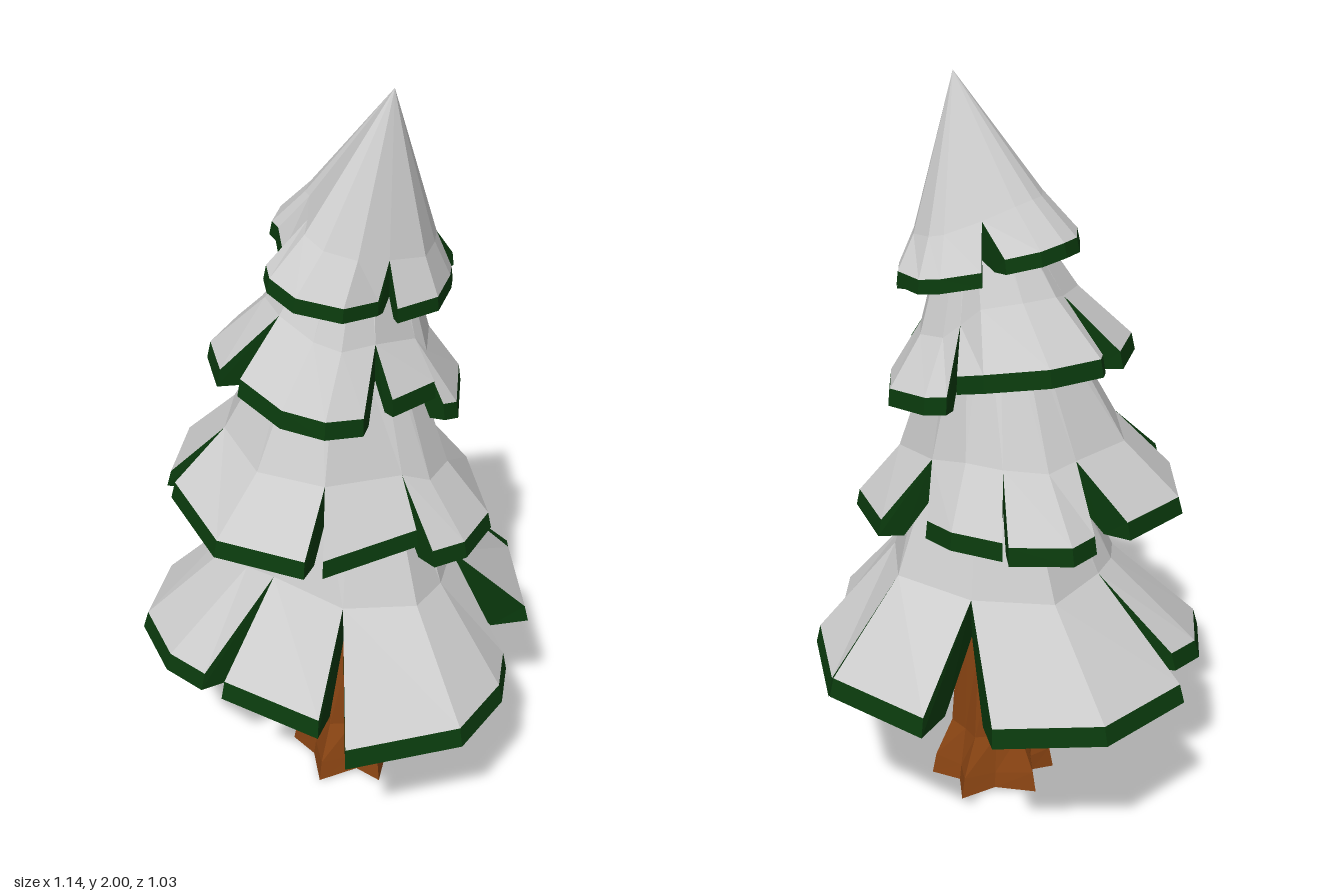
import * as THREE from 'three';

const material = (color) => new THREE.MeshStandardMaterial({ color, flatShading: true, side: THREE.DoubleSide });
const snowMat = material(0xcccccc);
const needleMat = material(0x0a3a0d);
const barkMat = material(0x8b4513);

// Collects quads into one flat-shaded mesh
function quadMesh(name, mat, quads) {
  const pos = [];
  const tri = (...pts) => pts.forEach((p) => pos.push(p.x, p.y, p.z));
  for (const [a, b, c, d] of quads) {
    tri(a, b, c);
    if (!a.equals(d)) tri(a, c, d);
  }
  const geo = new THREE.BufferGeometry();
  geo.setAttribute('position', new THREE.Float32BufferAttribute(pos, 3));
  geo.computeVertexNormals();
  const mesh = new THREE.Mesh(geo, mat);
  mesh.name = name;
  return mesh;
}

// One tier of branches. Each lobe is a list of rim points [x, y, z], in order
// back, left (+x), front, right; neighbouring lobes meet in a notch at the bend,
// which lies `rise` above the rim and at the fraction `bend` of its radius.
function createTier(name, { center, topY, topR, rise, bend, thick, rim }, lobes) {
  const [cx, cz] = center;
  const snow = [], needles = [];
  const at = (x, z, f, y) => new THREE.Vector3(cx + (x - cx) * f, y, cz + (z - cz) * f);

  // Cross-section from the top of the snow, over the rim and its heavy heel, to the underside
  const section = (p, shared) => {
    const [x, y, z] = p;
    const [sx, sy, sz] = p.map((v, i) => (v + shared[i]) / 2);
    const bendY = sy + rise;
    const rimBottom = at(x, z, 1, y - rim);
    const bendBottom = at(sx, sz, bend * 0.97, bendY - thick);
    const heel = bendBottom.clone().lerp(rimBottom, 0.55).setY(rimBottom.y - 0.004);
    return [
      at(sx, sz, topR / Math.hypot(sx - cx, sz - cz), topY),
      at(sx, sz, bend, bendY),
      at(x, z, 0.975, y),
      rimBottom,
      heel,
      bendBottom,
      at(sx, sz, 0.12, bendY - thick + 0.01),
    ];
  };

  lobes.forEach((lobe, k) => {
    const prev = lobes[(k + lobes.length - 1) % lobes.length].at(-1);
    const next = lobes[(k + 1) % lobes.length][0];
    const last = lobe.length - 1;
    const rows = lobe.map((p, i) => section(p, i === 0 ? prev : i === last ? next : p));
    for (let i = 0; i < last; i++) {
      for (let j = 0; j < 6; j++) {
        const quad = [rows[i + 1][j], rows[i + 1][j + 1], rows[i][j + 1], rows[i][j]];
        (j < 2 ? snow : needles).push(quad);
      }
    }
    // Cut sides of the lobe
    const side = ([, a, b, c, d, e]) => [[a, b, c, d], [a, d, e, a]];
    needles.push(...side(rows[0]), ...side(rows[last]).map((q) => q.reverse()));
  });

  const tier = new THREE.Group();
  tier.name = name;
  tier.add(quadMesh('snow', snowMat, snow), quadMesh('needles', needleMat, needles));
  return tier;
}

// Tapered trunk flaring into uneven roots
function createTrunk() {
  const sides = 12;
  const geo = new THREE.CylinderGeometry(1, 1, 1, sides, 4);
  const levels = [ // y, radius, root spread
    [0.015, 0.152, 0.033], [0.06, 0.143, 0.03], [0.17, 0.11, 0.012], [0.45, 0.096, 0.005], [0.8, 0.078, 0],
  ];
  const p = geo.attributes.position;
  for (let i = 0; i < p.count; i++) {
    const [y, radius, spread] = levels[Math.round((p.getY(i) + 0.5) * 4)];
    const x = p.getX(i), z = p.getZ(i);
    const side = Math.round((Math.atan2(x, z) / (2 * Math.PI)) * sides + sides) % sides;
    const isRoot = side % 2 === 0;
    const len = Math.hypot(x, z) * (radius + spread * (isRoot ? 1 : -1) * (0.8 + 0.2 * Math.sin(side * 2.3)));
    const a = (side / sides) * 2 * Math.PI + 0.25 + spread * 4 * Math.sin(side * 1.7);
    p.setXYZ(i, 0.032 + Math.sin(a) * len, y - (y < 0.02 && isRoot ? 0.015 : 0), 0.035 + Math.cos(a) * len);
  }
  geo.computeVertexNormals();
  const trunk = new THREE.Mesh(geo, barkMat);
  trunk.name = 'trunk';
  return trunk;
}

export function createModel() {
  const tree = new THREE.Group();
  tree.name = 'snowyPine';
  tree.add(createTrunk());

  tree.add(createTier('bottomBranches', { center: [0.02, 0], topY: 1.12, topR: 0.15, rise: 0.23, bend: 0.57, thick: 0.11, rim: 0.05 }, [
    [[-0.17, 0.52, -0.515], [0.14, 0.52, -0.515]],
    [[0.155, 0.51, -0.505], [0.375, 0.51, -0.32]],
    [[0.45, 0.49, -0.14], [0.53, 0.49, -0.03], [0.57, 0.49, 0.17], [0.42, 0.49, 0.44]],
    [[0.3, 0.5, 0.42], [0.03, 0.52, 0.51]],
    [[-0.06, 0.49, 0.505], [-0.195, 0.485, 0.515], [-0.385, 0.485, 0.445], [-0.495, 0.5, 0.27], [-0.49, 0.51, 0.155]],
    [[-0.57, 0.485, 0.07], [-0.525, 0.485, -0.22], [-0.305, 0.485, -0.405]],
  ]));

  tree.add(createTier('lowerMiddleBranches', { center: [0, 0.01], topY: 1.5, topR: 0.1, rise: 0.14, bend: 0.68, thick: 0.1, rim: 0.045 }, [
    [[-0.275, 0.96, -0.325], [-0.125, 0.95, -0.34], [-0.02, 0.94, -0.31]],
    [[0.135, 0.9, -0.315], [0.34, 0.88, -0.175], [0.385, 0.88, -0.03], [0.365, 0.89, 0.07]],
    [[0.32, 0.94, 0.085], [0.24, 0.93, 0.34]],
    [[0.21, 0.93, 0.375], [-0.005, 0.94, 0.48], [-0.25, 0.97, 0.415]],
    [[-0.325, 0.95, 0.37], [-0.465, 0.95, 0.19], [-0.455, 0.96, -0.04]],
    [[-0.41, 0.94, -0.12], [-0.405, 0.94, -0.21], [-0.29, 0.95, -0.32]],
  ]));

  tree.add(createTier('upperMiddleBranches', { center: [0.06, 0], topY: 1.78, topR: 0.04, rise: 0.13, bend: 0.63, thick: 0.1, rim: 0.045 }, [
    [[-0.03, 1.25, -0.235], [0.03, 1.24, -0.25], [0.16, 1.23, -0.235], [0.275, 1.22, -0.1], [0.27, 1.23, -0.055]],
    [[0.26, 1.3, -0.03], [0.25, 1.3, 0.11]],
    [[0.24, 1.28, 0.2], [0.2, 1.29, 0.29], [0.11, 1.31, 0.35], [-0.035, 1.34, 0.355]],
    [[-0.105, 1.34, 0.36], [-0.25, 1.33, 0.27], [-0.31, 1.33, 0.125]],
    [[-0.32, 1.35, 0.03], [-0.335, 1.35, 0], [-0.28, 1.35, -0.14], [-0.14, 1.33, -0.225], [-0.06, 1.31, -0.23]],
  ]));

  tree.add(createTier('topBranches', { center: [0.105, -0.03], topY: 2, topR: 0, rise: 0.09, bend: 0.7, thick: 0.095, rim: 0.035 }, [
    [[-0.11, 1.57, -0.19], [-0.02, 1.55, -0.24], [0.04, 1.54, -0.25], [0.13, 1.54, -0.225]],
    [[0.155, 1.52, -0.195], [0.2, 1.53, -0.14], [0.26, 1.53, -0.03], [0.25, 1.54, 0.1]],
    [[0.205, 1.55, 0.12], [0.19, 1.56, 0.22], [0.1, 1.58, 0.29], [0.01, 1.6, 0.29], [-0.035, 1.61, 0.26]],
    [[-0.04, 1.62, 0.2], [-0.14, 1.63, 0.125], [-0.18, 1.63, 0.11], [-0.235, 1.63, 0.03], [-0.24, 1.63, -0.03], [-0.22, 1.62, -0.1], [-0.15, 1.6, -0.15]],
  ]));

  return tree;
}
